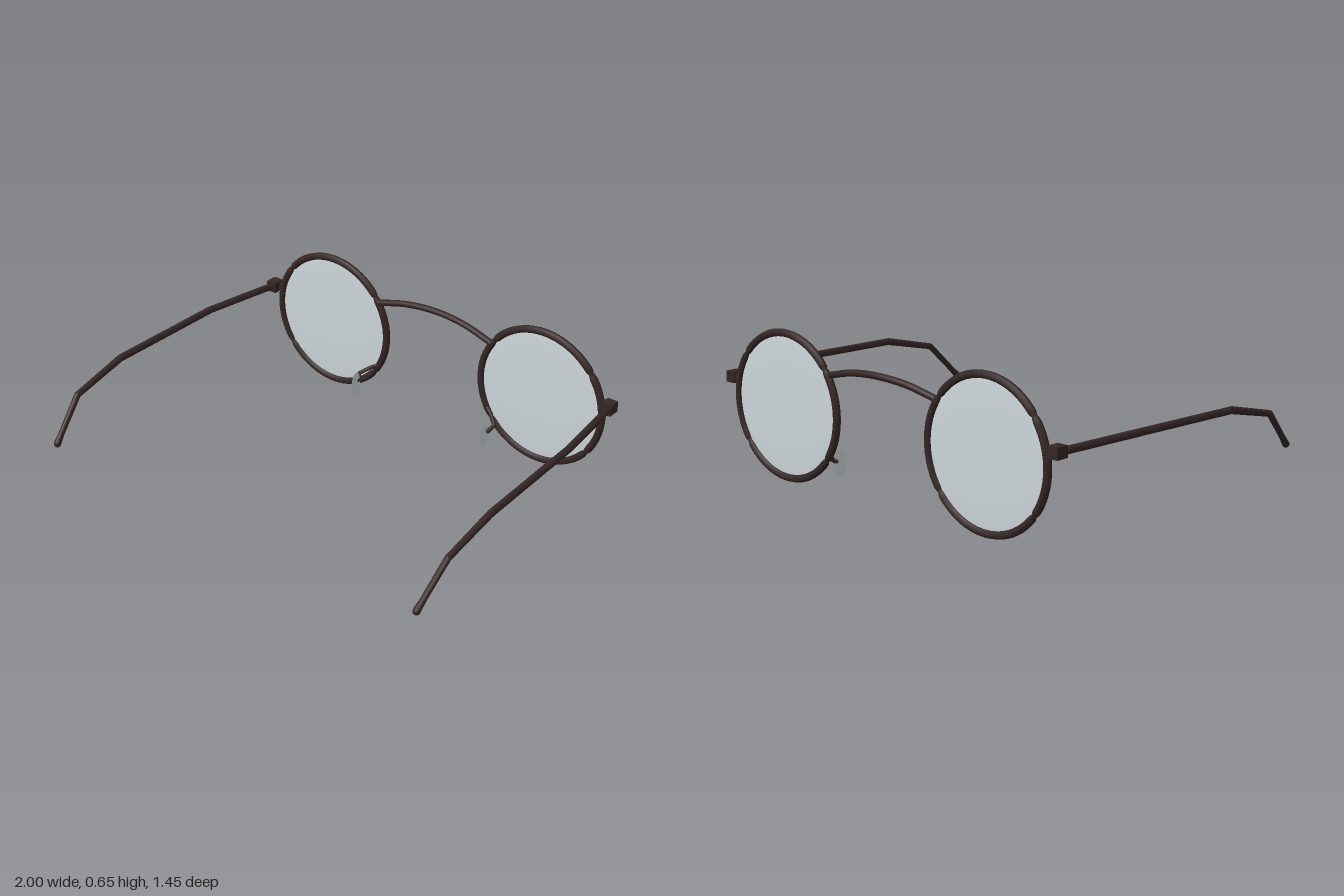
import * as THREE from 'three';

const frameMat = new THREE.MeshStandardMaterial({ color: 0x342625 });
frameMat.name = 'dark brown metal';
const lensMat = new THREE.MeshStandardMaterial({ color: 0xcdd6da });
lensMat.name = 'grey glass';
const padMat = new THREE.MeshStandardMaterial({ color: 0xcdd6da, side: THREE.DoubleSide });
padMat.name = 'grey pad';

const RIM_Z = -0.695;
const RIM_R = 0.308;

function add(parent, name, geometry, material, x = 0, y = 0, z = 0) {
  const mesh = new THREE.Mesh(geometry, material);
  mesh.name = name;
  mesh.position.set(x, y, z);
  parent.add(mesh);
  return mesh;
}

// Bent rod: tapered cylinders between [x, y, z, radius] points, with round joints
function rod(name, points, side) {
  const group = new THREE.Group();
  group.name = name;
  const up = new THREE.Vector3(0, 1, 0);
  points.forEach(([x, y, z, r], i) => {
    const a = new THREE.Vector3(x * side, y, z);
    add(group, name + 'Joint', new THREE.SphereGeometry(r, 10, 8), frameMat, a.x, a.y, a.z);
    if (i === points.length - 1) return;
    const [x2, y2, z2, r2] = points[i + 1];
    const b = new THREE.Vector3(x2 * side, y2, z2);
    const dir = b.clone().sub(a);
    const mid = a.clone().add(b).multiplyScalar(0.5);
    const piece = add(group, name + 'Segment',
      new THREE.CylinderGeometry(r2, r, dir.length(), 10), frameMat, mid.x, mid.y, mid.z);
    piece.quaternion.setFromUnitVectors(up, dir.normalize());
  });
  return group;
}

// Ring whose wire narrows at four diagonal joints
function rimGeometry() {
  const geometry = new THREE.TorusGeometry(RIM_R, 0.0165, 10, 160);
  const pos = geometry.attributes.position;
  for (let i = 0; i < pos.count; i++) {
    const x = pos.getX(i), y = pos.getY(i);
    const offset = (Math.atan2(Math.abs(y), Math.abs(x)) - 0.66) / 0.035;
    const pinch = 1 - 0.35 * Math.exp(-offset * offset);
    const r = Math.hypot(x, y);
    const k = (RIM_R + (r - RIM_R) * pinch) / r;
    pos.setXYZ(i, x * k, y * k, pos.getZ(i) * pinch);
  }
  geometry.computeVertexNormals();
  return geometry;
}

function createSide(side) {
  const group = new THREE.Group();
  group.name = side > 0 ? 'leftSide' : 'rightSide';

  // Round rim and its slightly domed lens
  add(group, 'rim', rimGeometry(), frameMat, 0.57 * side, 0.331, RIM_Z);
  const lens = new THREE.SphereGeometry(0.304, 48, 24).scale(1, 1, 0.025);
  add(group, 'lens', lens, lensMat, 0.57 * side, 0.331, RIM_Z);

  // Hinge block, with a short lug to the rim
  add(group, 'hinge', new THREE.BoxGeometry(0.05, 0.048, 0.058), frameMat, 0.915 * side, 0.404, -0.684);
  add(group, 'hingeLug', new THREE.BoxGeometry(0.04, 0.035, 0.022), frameMat, 0.88 * side, 0.404, RIM_Z);

  // Temple arm, bent down behind the ear, slimmer before its tip
  group.add(rod('temple', [
    [0.92, 0.403, -0.67, 0.016],
    [0.971, 0.411, -0.29, 0.016],
    [0.984, 0.398, 0.28, 0.016],
    [0.98, 0.335, 0.55, 0.014],
    [0.962, 0.207, 0.675, 0.013],
    [0.957, 0.172, 0.708, 0.016],
  ], side));

  // Nose pad arm and flat oval pad
  group.add(rod('padArm', [
    [0.3, 0.185, -0.69, 0.008],
    [0.335, 0.165, -0.675, 0.009],
    [0.377, 0.135, -0.643, 0.009],
    [0.364, 0.115, -0.615, 0.011],
  ], side));
  const pad = new THREE.CircleGeometry(1, 28).scale(0.032, 0.06, 1).rotateY(side * Math.PI / 2);
  add(group, 'nosePad', pad, padMat, 0.358 * side, 0.103, -0.594);
  return group;
}

export function createModel() {
  const model = new THREE.Group();
  model.name = 'roundGlasses';
  model.add(createSide(1), createSide(-1));

  // Arched bridge
  const bridge = new THREE.CatmullRomCurve3([
    [-0.31, 0.5, -0.692], [-0.16, 0.535, -0.704], [0, 0.547, -0.71], [0.16, 0.535, -0.704], [0.31, 0.5, -0.692],
  ].map((p) => new THREE.Vector3(...p)));
  add(model, 'bridge', new THREE.TubeGeometry(bridge, 24, 0.0145, 10), frameMat);
  return model;
}
